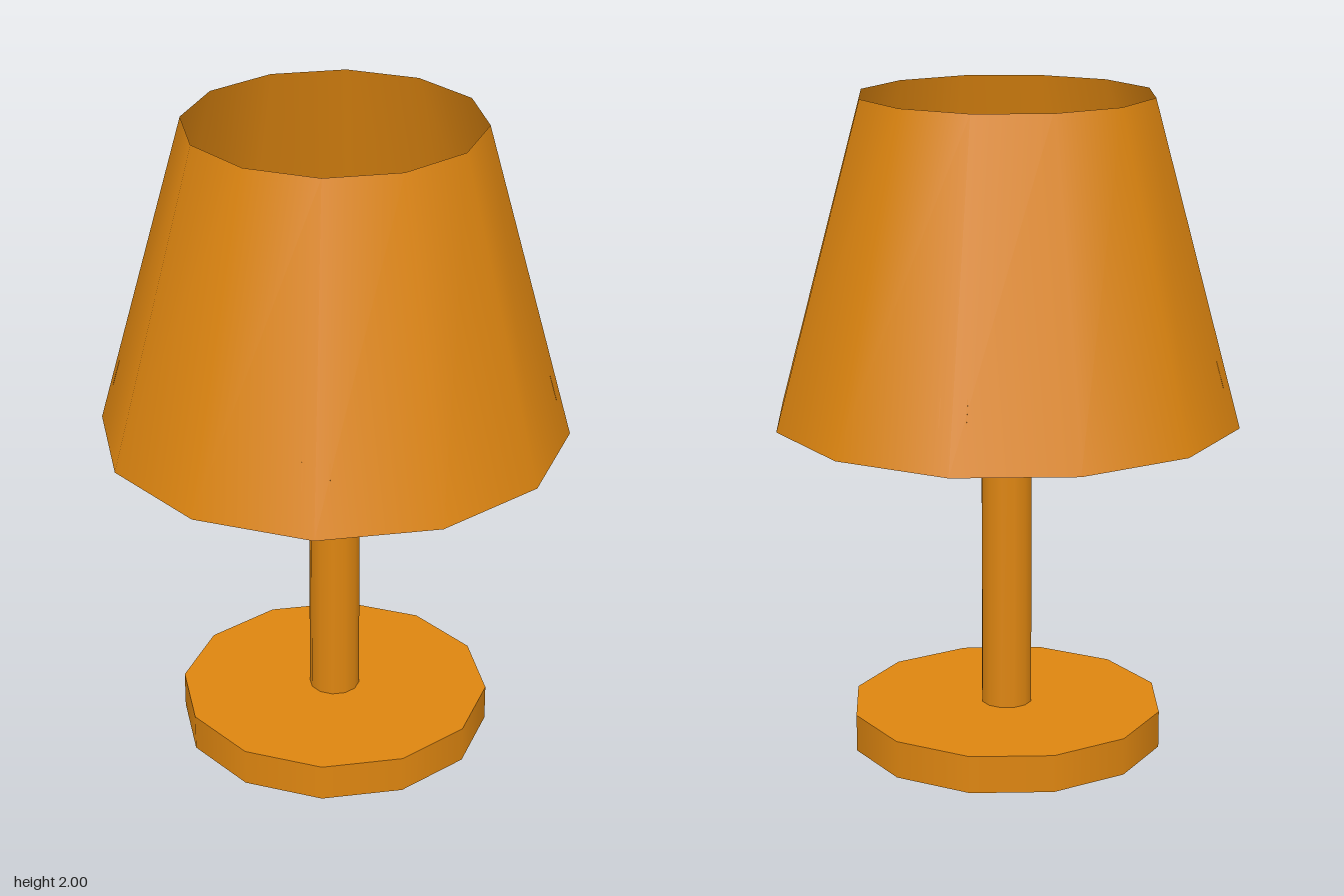
import * as THREE from 'three';

const SIDES = 12;

export function createModel() {
  const model = new THREE.Group();
  model.name = 'tableLamp';
  const color = 0xdd8510;
  const solid = new THREE.MeshStandardMaterial({ color });
  const thin = new THREE.MeshStandardMaterial({ color, side: THREE.DoubleSide });

  const add = (name, geometry, material, y) => {
    const mesh = new THREE.Mesh(geometry, material);
    mesh.name = name;
    mesh.position.y = y;
    model.add(mesh);
    return mesh;
  };
  // Upright round part between two heights
  const round = (name, rTop, rBottom, y0, y1, material, open = false) =>
    add(name, new THREE.CylinderGeometry(rTop, rBottom, y1 - y0, SIDES, 1, open), material, (y0 + y1) / 2);

  round('base', 0.48, 0.48, 0, 0.115, solid);
  round('pole', 0.078, 0.078, 0.115, 1.5, solid);
  // Thin open shade
  round('shade', 0.443, 0.708, 1.03, 2, thin, true);

  // Four arms from the pole to the shade, outer ends sloped to meet it
  const inner = 0.07, low = 1.16, high = 1.24;
  const reach = (y) => 0.708 - (y - 1.03) * (0.265 / 0.97) - 0.01;
  const profile = new THREE.Shape([
    new THREE.Vector2(inner, low),
    new THREE.Vector2(reach(low), low),
    new THREE.Vector2(reach(high), high),
    new THREE.Vector2(inner, high),
  ]);
  const arm = new THREE.ExtrudeGeometry(profile, { depth: 0.08, bevelEnabled: false });
  arm.translate(0, 0, -0.04);
  for (let i = 0; i < 4; i++) {
    add('shadeArm' + (i + 1), arm, solid, 0).rotation.y = (i * Math.PI) / 2;
  }
  return model;
}
